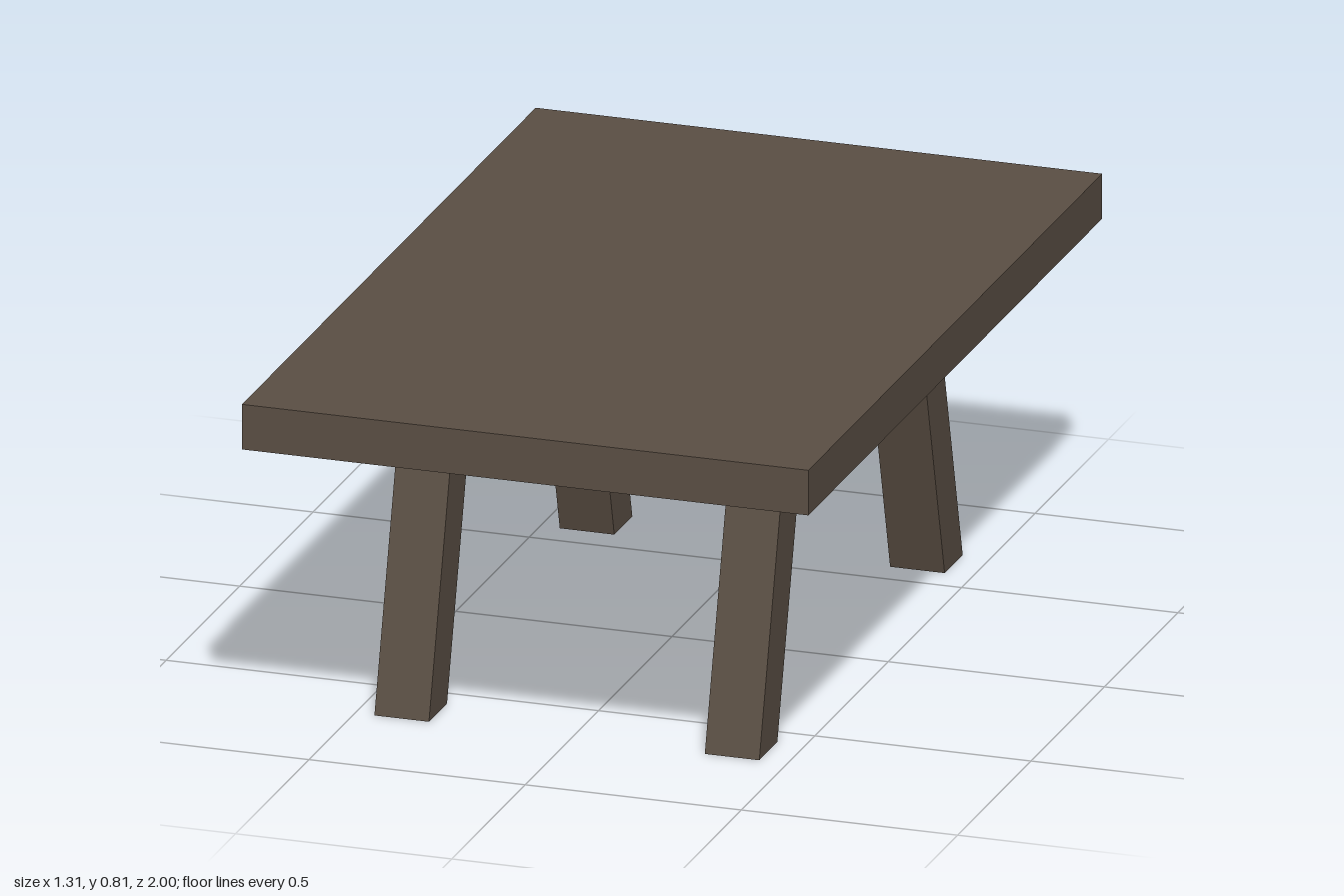
import * as THREE from 'three';

const TOP_Y = 0.81, UNDER_Y = 0.705;

// Square leg sheared along z so both ends stay horizontal
function makeLeg(material, x, side) {
  const geometry = new THREE.BoxGeometry(0.126, UNDER_Y, 0.123);
  geometry.translate(0, UNDER_Y / 2, 0);
  const pos = geometry.attributes.position;
  for (let i = 0; i < pos.count; i++) {
    const t = pos.getY(i) / UNDER_Y;
    pos.setZ(i, pos.getZ(i) + side * THREE.MathUtils.lerp(0.631, 0.443, t));
  }
  geometry.computeVertexNormals();
  const leg = new THREE.Mesh(geometry, material);
  leg.position.set(x, 0, -0.006);
  return leg;
}

export function createModel() {
  const model = new THREE.Group();
  model.name = 'table';

  const wood = new THREE.MeshStandardMaterial({ color: 0x5b4f44 });
  wood.name = 'dark wood';

  // Table top slab
  const top = new THREE.Mesh(new THREE.BoxGeometry(1.31, TOP_Y - UNDER_Y, 2), wood);
  top.name = 'tableTop';
  top.position.y = (TOP_Y + UNDER_Y) / 2;
  model.add(top);

  // Four legs splayed toward the front and back
  for (const [sideName, x] of [['Left', 0.372], ['Right', -0.392]]) {
    for (const [endName, side] of [['front', 1], ['back', -1]]) {
      const leg = makeLeg(wood, x, side);
      leg.name = `${endName}${sideName}Leg`;
      model.add(leg);
    }
  }
  return model;
}
